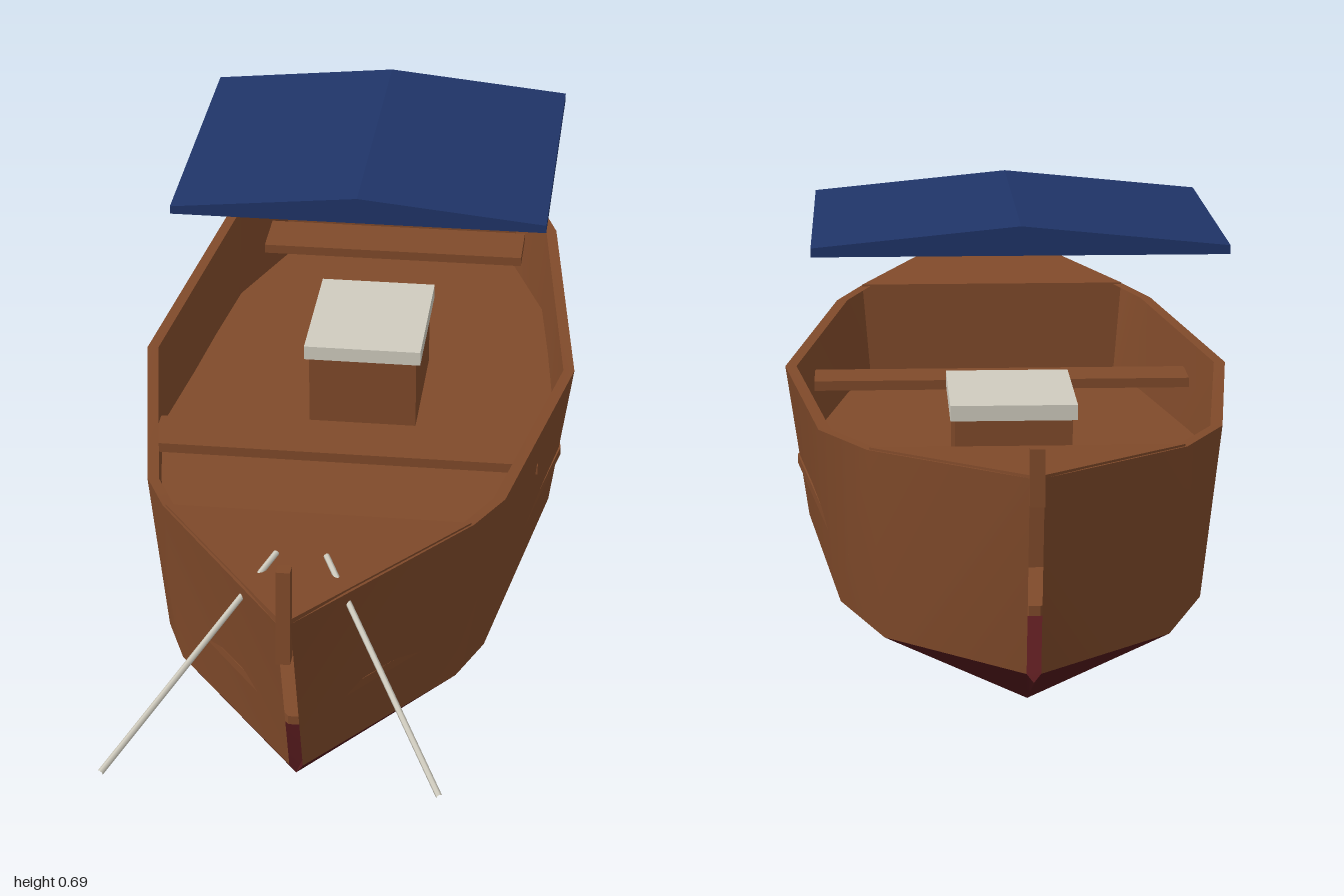
import * as THREE from 'three';

const mat = (name, color, side = THREE.FrontSide) => {
  const m = new THREE.MeshStandardMaterial({ color, side });
  m.name = name;
  return m;
};

// Hull stations: sheer z, half width, sheer y, chine z, keel y
const STATIONS = [
  [0.84, 0.01, 0.453, 0.73, 0.12],
  [0.47, 0.235, 0.405, 0.47, 0.02],
  [0.38, 0.275, 0.398, 0.38, 0.015],
  [-0.07, 0.355, 0.38, -0.07, 0.003],
  [-0.56, 0.295, 0.393, -0.56, 0.013],
  [-0.74, 0.225, 0.407, -0.74, 0.04],
  [-0.99, 0.01, 0.428, -0.915, 0.12],
];
const CHINE_Y = 0.133;
const RAIL = 0.018;

// Surface between two rails of points, mirrored when side is -1
function ribbon(upper, lower, side) {
  const pos = [], idx = [];
  upper.forEach((u, i) => {
    const l = lower[i];
    pos.push(u[0] * side, u[1], u[2], l[0] * side, l[1], l[2]);
    if (i === 0) return;
    const a = 2 * i - 2, b = a + 1, c = a + 2, d = a + 3;
    if (side > 0) idx.push(a, b, c, b, d, c);
    else idx.push(a, c, b, b, c, d);
  });
  const g = new THREE.BufferGeometry();
  g.setAttribute('position', new THREE.Float32BufferAttribute(pos, 3));
  g.setIndex(idx);
  g.computeVertexNormals();
  return g;
}

const outline = (points) => new THREE.Shape(points.map(([x, y]) => new THREE.Vector2(x, y)));

// Flat plate from an x/z outline, its top following topY(z)
function plate(points, thickness, topY) {
  const shape = outline(points.map(([x, z]) => [x, -z]));
  const g = new THREE.ExtrudeGeometry(shape, { depth: thickness, bevelEnabled: false });
  g.rotateX(-Math.PI / 2);
  const p = g.attributes.position;
  for (let i = 0; i < p.count; i++) p.setY(i, p.getY(i) - thickness + topY(p.getZ(i)));
  g.computeVertexNormals();
  return g;
}

export function createModel() {
  const boat = new THREE.Group();
  boat.name = 'boat';
  const wood = mat('wood brown', 0x804a2a);
  const woodShell = mat('hull brown', 0x804a2a, THREE.DoubleSide);
  const red = mat('bottom red', 0x54191c, THREE.DoubleSide);
  const blue = mat('canopy blue', 0x1f3468);
  const grey = mat('pale grey', 0xd0ccbf);

  const add = (name, geometry, material, x = 0, y = 0, z = 0) => {
    const m = new THREE.Mesh(geometry, material);
    m.name = name;
    m.position.set(x, y, z);
    boat.add(m);
    return m;
  };
  const box = (name, material, w, h, d, x, y, z) =>
    add(name, new THREE.BoxGeometry(w, h, d), material, x, y, z);

  // Hull: topsides, gunwale and painted bottom on each side
  const sheer = STATIONS.map(([z, w, y]) => [w, y, z]);
  const sheerIn = STATIONS.map(([z, w, y]) => [Math.max(w - RAIL, 0.01), y, z]);
  const chine = STATIONS.map(([, w, , cz]) => [Math.max(w * 0.9, 0.01), CHINE_Y, cz]);
  const keel = STATIONS.map(([, , , cz, ky]) => [0, ky, cz]);
  for (const side of [1, -1]) {
    const label = side > 0 ? 'left' : 'right';
    add(label + 'Topside', ribbon(sheer, chine, side), woodShell);
    add(label + 'Gunwale', ribbon(sheerIn, sheer, side), woodShell);
    add(label + 'Bottom', ribbon(chine, keel, side), red);
  }

  // Floor boards, just touching the planking amidships
  const floorSide = [[0.008, 0.75], [0.217, 0.47], [0.256, 0.38], [0.337, -0.07],
    [0.274, -0.56], [0.207, -0.74], [0.008, -0.93]];
  const floorOutline = [...floorSide, ...floorSide.map(([x, z]) => [-x, z]).reverse()];
  add('floor', plate(floorOutline, 0.014, () => 0.234), wood);

  // Fore and aft decks rising towards the ends, each closed by a bulkhead
  add('foreDeck', plate([[-0.231, 0.47], [0.231, 0.47], [0.006, 0.836], [-0.006, 0.836]], 0.01,
    (z) => 0.408 + (z - 0.47) * 0.13), wood);
  add('aftDeck', plate([[0.222, -0.738], [-0.222, -0.738], [-0.006, -0.988], [0.006, -0.988]], 0.01,
    (z) => 0.41 + (-0.738 - z) * 0.084), wood);
  const bulkhead = (name, low, high, z) => add(name, new THREE.ShapeGeometry(
    outline([[-low, 0.225], [low, 0.225], [high, 0.4], [-high, 0.4]])), woodShell, 0, 0, z);
  bulkhead('foreBulkhead', 0.216, 0.23, 0.472);
  bulkhead('aftBulkhead', 0.207, 0.22, -0.742);

  // Seats
  box('frontThwart', wood, 0.622, 0.016, 0.09, 0, 0.317, 0.105);
  box('rearThwart', wood, 0.465, 0.016, 0.1, 0, 0.317, -0.63);

  // Engine box with lid
  box('engineBox', wood, 0.18, 0.122, 0.235, 0, 0.294, -0.23);
  box('engineLid', grey, 0.195, 0.024, 0.25, 0, 0.366, -0.23);

  // Stem and stern posts
  box('stemPost', wood, 0.02, 0.145, 0.024, 0, 0.463, 0.833).rotation.x = -0.07;
  box('sternPost', wood, 0.02, 0.078, 0.018, 0, 0.429, -0.988).rotation.x = 0.06;

  // Floating canopy with a low ridge
  const roof = outline([[-0.303, 0.647], [0.303, 0.647], [0.303, 0.66], [0, 0.69], [-0.303, 0.66]]);
  add('canopy', new THREE.ExtrudeGeometry(roof, { depth: 0.525, bevelEnabled: false }), blue, 0, 0, -0.557);

  // Mooring lines running forward from the fore deck
  for (const side of [1, -1]) {
    const line = new THREE.LineCurve3(
      new THREE.Vector3(0.036 * side, 0.449, 0.65), new THREE.Vector3(0.234 * side, 0.294, 0.998));
    add(side > 0 ? 'leftMooringLine' : 'rightMooringLine', new THREE.TubeGeometry(line, 1, 0.0045, 6), grey);
  }
  return boat;
}
